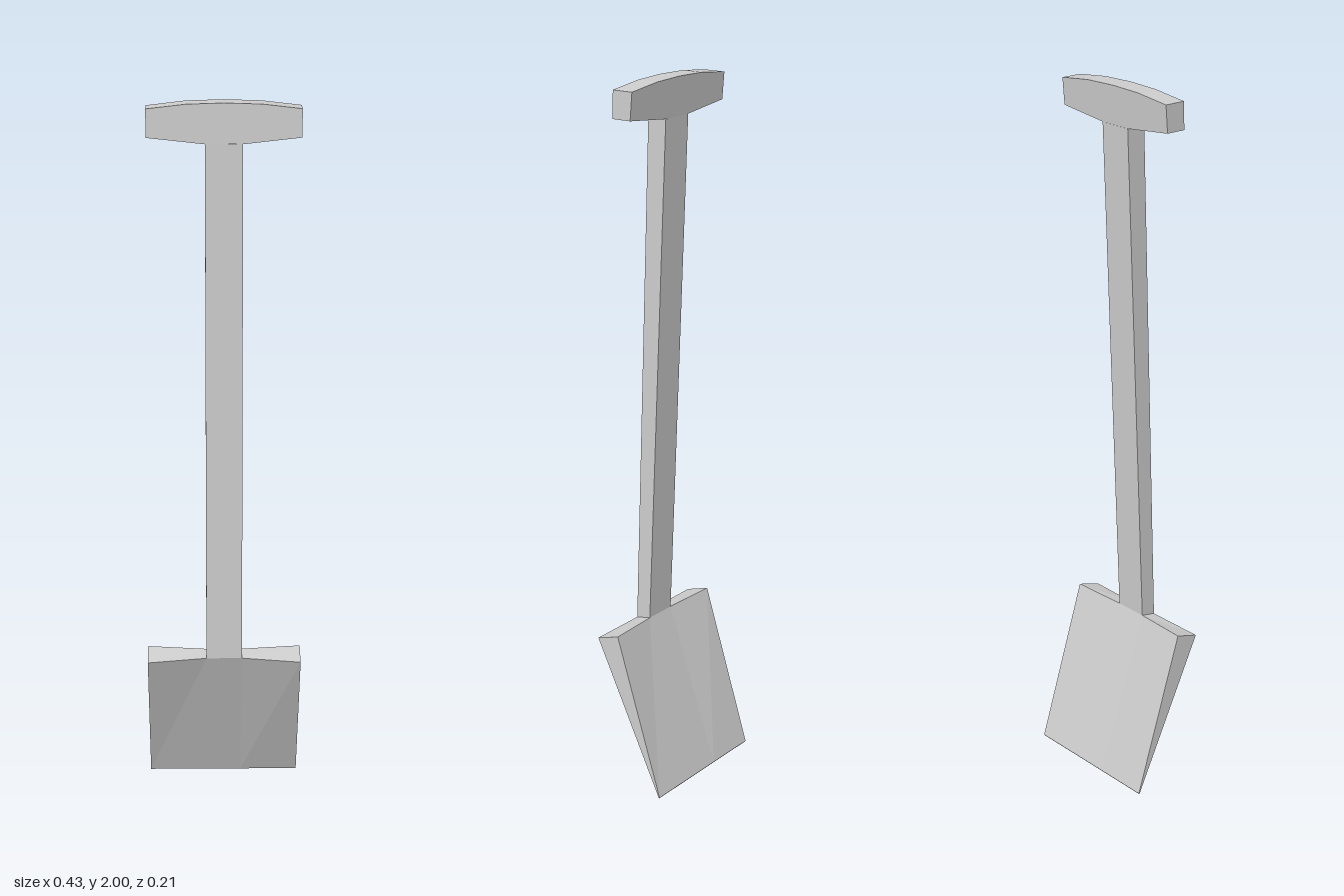
import * as THREE from 'three';

const material = new THREE.MeshStandardMaterial({ color: 0xcccccc, flatShading: true });

// Moves every vertex by a rule that returns its new [x, y, z].
function reshape(geometry, rule) {
  const p = geometry.attributes.position;
  for (let i = 0; i < p.count; i++) p.setXYZ(i, ...rule(p.getX(i), p.getY(i), p.getZ(i)));
  geometry.computeVertexNormals();
  return geometry;
}

function addPart(group, name, geometry) {
  const mesh = new THREE.Mesh(geometry, material);
  mesh.name = name;
  group.add(mesh);
}

export function createModel() {
  const group = new THREE.Group();
  group.name = 'spade';

  // Blade: a wedge with a sharp lower edge, its upper edge dipping in at the shaft
  const columns = [-0.215, -0.05, 0.05, 0.215];
  addPart(group, 'blade', reshape(new THREE.BoxGeometry(3, 1, 1, 3, 1, 1), (x, y, z) => {
    const column = Math.round(x + 1.5);
    const outer = column === 0 || column === 3;
    if (y < 0) return [columns[column], z > 0 ? 0 : 0.003, z > 0 ? -0.106 : -0.108];
    if (z > 0) return [columns[column], outer ? 0.44 : 0.448, outer ? 0.105 : 0.093];
    return [columns[column], outer ? 0.461 : 0.457, outer ? 0.036 : 0.048];
  }));

  // Shaft: a leaning, open-ended square bar, slightly thicker at the top
  const bar = new THREE.CylinderGeometry(1, 1, 1, 4, 1, true).rotateY(Math.PI / 4);
  addPart(group, 'shaft', reshape(bar, (x, y, z) => {
    const side = Math.sign(x) * 0.05;
    if (y > 0) return [side, 1.893, z > 0 ? 0.046 : -0.011];
    return z > 0 ? [side, 0.448, 0.093] : [side, 0.457, 0.048];
  }));

  // Grip: a crossbar with an arched top and tapering ends
  const half = [[0.05, 1.893], [0.205, 1.91], [0.205, 1.985], [0.1, 1.997]];
  const outline = [...half, [0, 2], ...half.map(([x, y]) => [-x, y]).reverse()];
  const shape = new THREE.Shape(outline.map(([x, y]) => new THREE.Vector2(x, y)));
  const grip = new THREE.ExtrudeGeometry(shape, { depth: 1, bevelEnabled: false });
  addPart(group, 'grip', reshape(grip, (x, y, z) =>
    [x, y, z > 0.5 ? 0.042 + (2 - y) * 0.035 : -0.02 + (2 - y) * 0.085]));

  return group;
}
